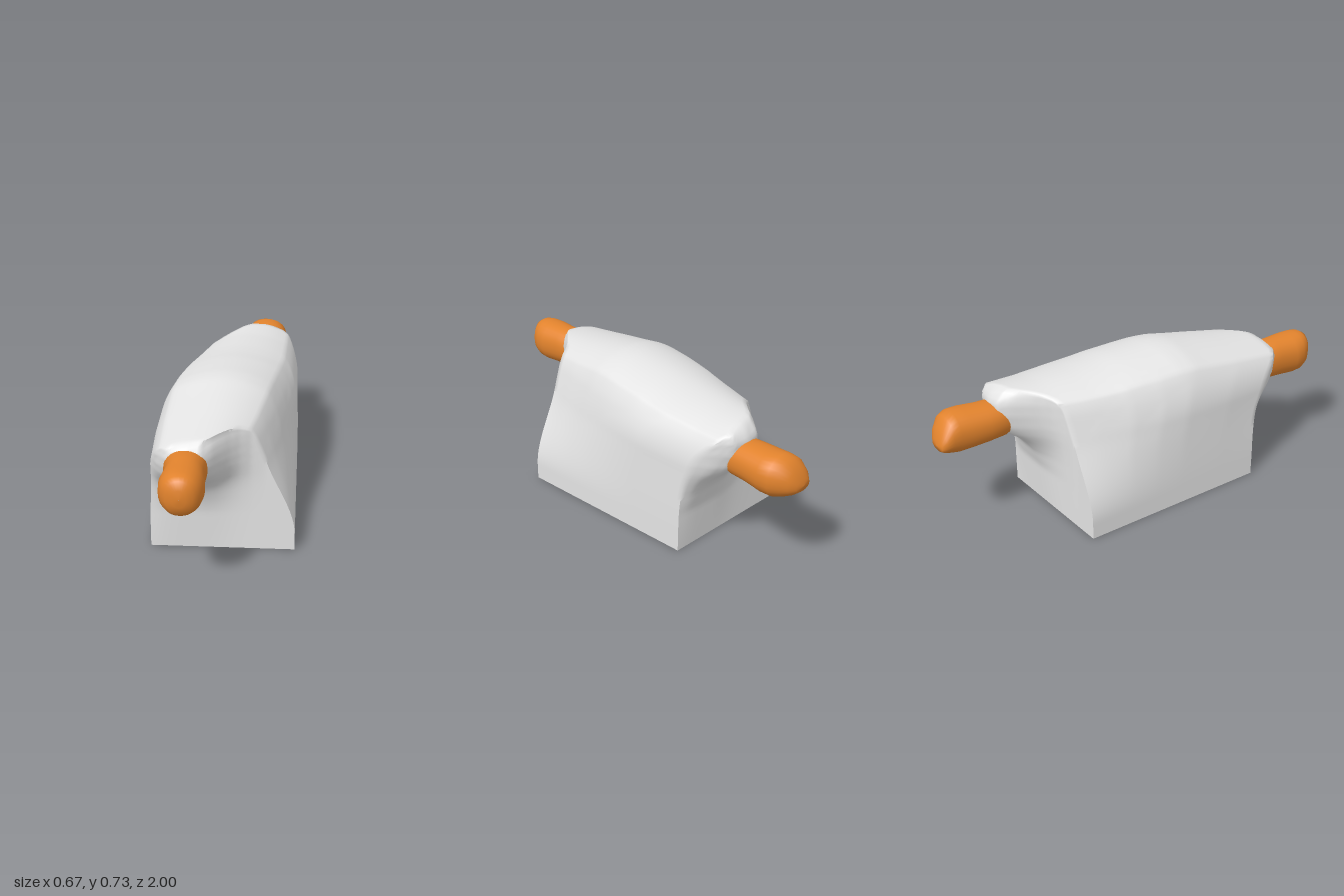
import * as THREE from 'three';
import { mergeVertices, toCreasedNormals } from 'three/addons/utils/BufferGeometryUtils.js';

const lerp = THREE.MathUtils.lerp;
const smooth = THREE.MathUtils.smoothstep;

// Piecewise interpolation through [position, value] pairs
function sample(points, p) {
  if (p <= points[0][0]) return points[0][1];
  for (let i = 1; i < points.length; i++) {
    const [a, va] = points[i - 1], [b, vb] = points[i];
    if (p <= b) return lerp(va, vb, (p - a) / (b - a));
  }
  return points[points.length - 1][1];
}

// How far the front and back lobes overhang the block, by height
const frontBulge = [[0, 0], [0.2, 0.015], [0.25, 0.027], [0.3, 0.045], [0.34, 0.065], [0.38, 0.1], [0.42, 0.155], [0.46, 0.2], [0.51, 0.228], [0.56, 0.235], [0.6, 0.222], [0.63, 0.195]];
const backBulge = [[0, 0], [0.2, 0.015], [0.3, 0.05], [0.35, 0.085], [0.39, 0.125], [0.43, 0.175], [0.48, 0.22], [0.55, 0.248], [0.61, 0.25], [0.65, 0.225], [0.68, 0.19]];
// Strength of the front lobe across the width; the back one mirrors it
const lobe = [[-0.335, 0.2], [-0.31, 0.42], [-0.28, 0.7], [-0.23, 0.93], [-0.15, 1], [-0.08, 0.97], [-0.04, 0.8], [0, 0.56], [0.04, 0.34], [0.08, 0.18], [0.13, 0.06], [0.2, 0]];
// Upper left and right edges along the block, from back (0) to front (1)
const upperLeft = [[0, 0.325], [0.3, 0.325], [0.45, 0.308], [0.6, 0.285], [0.75, 0.255], [0.9, 0.215], [1, 0.18]];
const upperRight = [[0, -0.17], [0.1, -0.21], [0.25, -0.265], [0.4, -0.3], [0.55, -0.32], [0.8, -0.325], [1, -0.318]];
// Ridge height by depth
const ridge = [[-0.72, 0.645], [-0.66, 0.68], [-0.5, 0.678], [-0.3, 0.688], [-0.2, 0.697], [-0.1, 0.71], [0, 0.718], [0.12, 0.727], [0.2, 0.724], [0.3, 0.705], [0.5, 0.67], [0.7, 0.638], [0.76, 0.61]];

function bodyGeometry() {
  let geo = new THREE.BoxGeometry(2, 1, 1, 32, 36, 48);
  const pos = geo.attributes.position;
  const spring = 0.45, base = 0.335, round = 0.4;
  for (let i = 0; i < pos.count; i++) {
    const s = pos.getX(i), h = pos.getY(i) + 0.5, t = pos.getZ(i) + 0.5;
    // Straight walls below, rounded crown above
    const v = Math.max(0, (h - 0.6) / 0.4);
    const across = s * Math.sqrt(1 - round * v * v);
    const crown = v * Math.sqrt(1 - round * s * s);
    let x, y, z = lerp(-0.46, 0.515, t);
    // Crown height follows depth, so settle the two together
    for (let pass = 0; pass < 4; pass++) {
      y = Math.min(1, h / 0.6) * spring + (sample(ridge, z) - spring) * crown;
      const f = smooth(y, 0.08, 0.56);
      const x0 = lerp(-base, sample(upperRight, t), f);
      const x1 = lerp(base, sample(upperLeft, t), f);
      x = lerp(x0, x1, (across + 1) / 2);
      const front = 0.515 + sample(frontBulge, y) * sample(lobe, x);
      const back = -0.46 - sample(backBulge, y) * sample(lobe, -x);
      z = lerp(back, front, t);
    }
    pos.setXYZ(i, x, y, z);
  }
  geo.deleteAttribute('normal');
  geo.deleteAttribute('uv');
  geo = mergeVertices(geo, 1e-4);
  return toCreasedNormals(geo, 1.2);
}

// Rounded rings [z, xMin, xMax, yMin, yMax], from back to front
function pegGeometry(rings, n = 28) {
  const verts = [], index = [];
  const soft = (c) => Math.sign(c) * Math.pow(Math.abs(c), 0.9);
  rings.forEach(([z, x0, x1, y0, y1], i) => {
    for (let j = 0; j < n; j++) {
      const a = (j / n) * Math.PI * 2;
      verts.push((x0 + x1) / 2 + soft(Math.cos(a)) * (x1 - x0) / 2, (y0 + y1) / 2 + soft(Math.sin(a)) * (y1 - y0) / 2, z);
      if (i === rings.length - 1) continue;
      const k = (j + 1) % n, p = i * n, q = p + n;
      index.push(p + j, p + k, q + j, p + k, q + k, q + j);
    }
  });
  const geo = new THREE.BufferGeometry();
  geo.setAttribute('position', new THREE.Float32BufferAttribute(verts, 3));
  geo.setIndex(index);
  geo.computeVertexNormals();
  return geo;
}

export function createModel() {
  const grey = new THREE.MeshStandardMaterial({ color: 0xe4e4e4 });
  grey.name = 'light grey';
  const orange = new THREE.MeshStandardMaterial({ color: 0xe2832d });
  orange.name = 'orange';
  const group = new THREE.Group();
  group.name = 'block with pegs';
  const add = (name, geo, mat) => {
    const mesh = new THREE.Mesh(geo, mat);
    mesh.name = name;
    group.add(mesh);
  };

  add('body', bodyGeometry(), grey);

  add('frontPeg', pegGeometry([
    [0.66, -0.235, -0.06, 0.44, 0.59],
    [0.72, -0.245, -0.05, 0.415, 0.605],
    [0.79, -0.235, -0.055, 0.405, 0.605],
    [0.88, -0.25, -0.048, 0.4, 0.607],
    [0.93, -0.245, -0.055, 0.402, 0.607],
    [0.965, -0.23, -0.068, 0.415, 0.603],
    [0.987, -0.21, -0.09, 0.435, 0.59],
    [0.998, -0.18, -0.12, 0.47, 0.55],
    [1.0, -0.151, -0.149, 0.509, 0.511],
  ]), orange);

  // Tapered, wedge-like tip
  add('backPeg', pegGeometry([
    [-1.0, 0.119, 0.121, 0.479, 0.481],
    [-0.995, 0.075, 0.17, 0.455, 0.51],
    [-0.975, 0.058, 0.208, 0.44, 0.555],
    [-0.94, 0.05, 0.24, 0.425, 0.6],
    [-0.9, 0.05, 0.258, 0.413, 0.612],
    [-0.84, 0.048, 0.26, 0.413, 0.61],
    [-0.75, 0.042, 0.245, 0.42, 0.603],
    [-0.66, 0.045, 0.238, 0.425, 0.6],
    [-0.6, 0.06, 0.22, 0.45, 0.59],
  ]), orange);

  return group;
}
